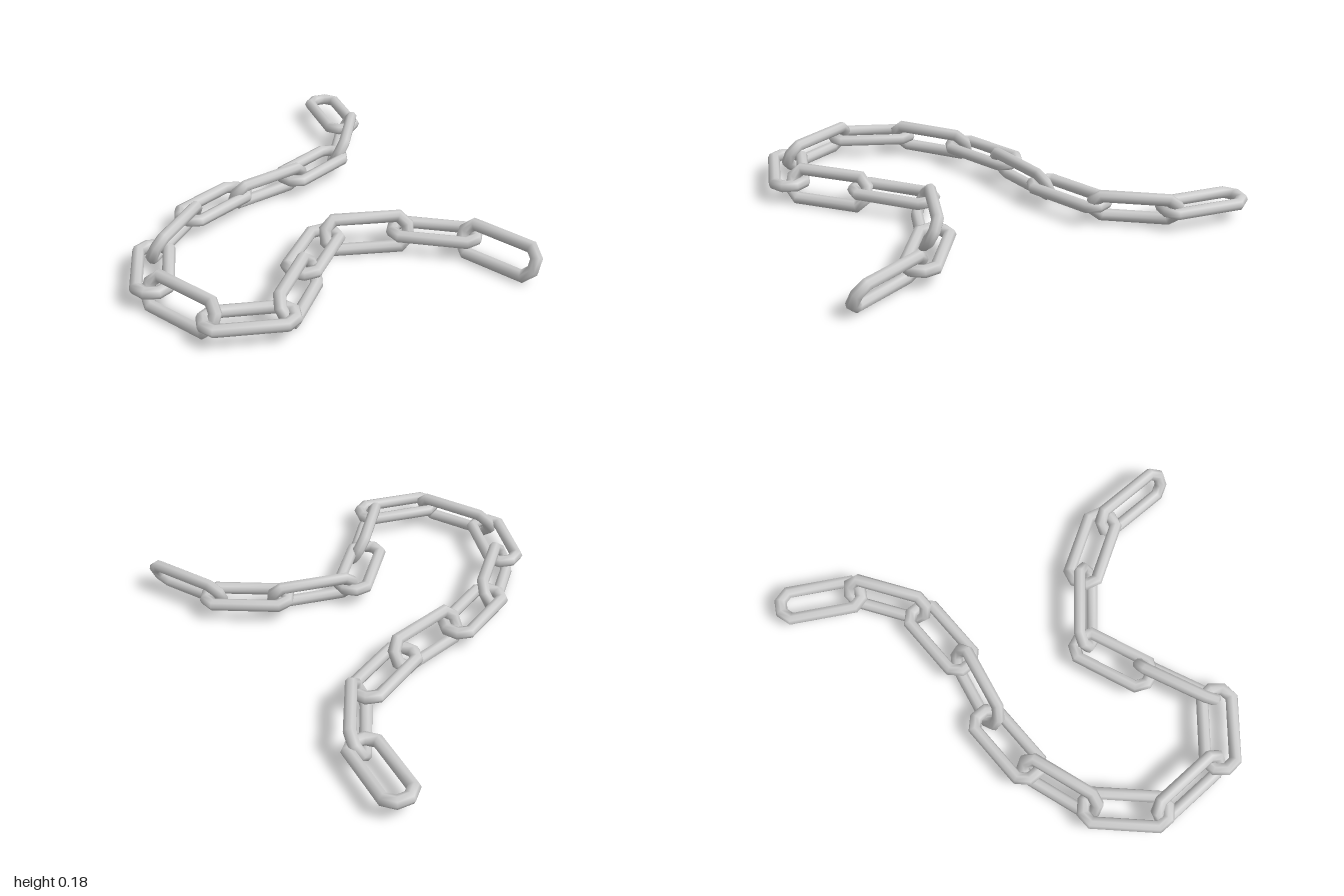
import * as THREE from 'three';

const LENGTH = 0.44;   // outer length of a link
const WIDTH = 0.195;   // outer width of a link
const WIRE = 0.0285;   // wire radius
const ROLL = THREE.MathUtils.degToRad(63);

// Stadium-shaped link lying in the XZ plane: half an octagon at each end,
// with mitred wire rings at its eight corners
function linkGeometry(sides = 8) {
  const miter = 1 / Math.cos(Math.PI / 8);
  const apothem = WIDTH / 2 - WIRE;
  const shift = LENGTH / 2 - WIDTH / 2;
  const positions = [], index = [];
  for (let i = 0; i < 8; i++) {
    const t = (i + 0.5) * Math.PI / 4;
    for (let j = 0; j < sides; j++) {
      const p = j / sides * Math.PI * 2;
      const radius = (apothem + WIRE * Math.cos(p)) * miter;
      positions.push(
        Math.sign(Math.cos(t)) * shift + radius * Math.cos(t),
        WIRE * Math.sin(p),
        radius * Math.sin(t));
      const a = i * sides + j;
      const b = i * sides + (j + 1) % sides;
      const c = (a + sides) % (8 * sides);
      const d = (b + sides) % (8 * sides);
      index.push(a, b, c, b, d, c);
    }
  }
  const geometry = new THREE.BufferGeometry();
  geometry.setAttribute('position', new THREE.Float32BufferAttribute(positions, 3));
  geometry.setIndex(index);
  geometry.computeVertexNormals();
  return geometry;
}

// Centre x, centre z and heading in degrees of each link along the chain
const LINKS = [
  [-0.778, -0.829, 20], [-0.505, -0.666, 48], [-0.38, -0.361, 81],
  [-0.358, -0.059, 93], [-0.38, 0.254, 81], [-0.278, 0.548, 63],
  [-0.08, 0.797, 35], [0.222, 0.858, -11], [0.492, 0.698, -59],
  [0.455, 0.404, -122], [0.257, 0.158, -120], [0.289, -0.136, -58],
  [0.481, -0.382, -40], [0.775, -0.495, -10],
];

export function createModel() {
  const chain = new THREE.Group();
  chain.name = 'chain';
  const geometry = linkGeometry();
  const material = new THREE.MeshStandardMaterial({ color: 0xcccccc });

  // Flat links alternate with links rolled up on edge
  LINKS.forEach(([x, z, heading], i) => {
    const rolled = i % 2 === 1;
    const link = new THREE.Mesh(geometry, material);
    link.name = (rolled ? 'tiltedLink' : 'flatLink') + (i + 1);
    link.position.set(x, 0.09, z);
    link.rotation.order = 'YXZ';
    link.rotation.set(rolled ? ROLL : 0, -THREE.MathUtils.degToRad(heading), 0);
    chain.add(link);
  });
  return chain;
}
